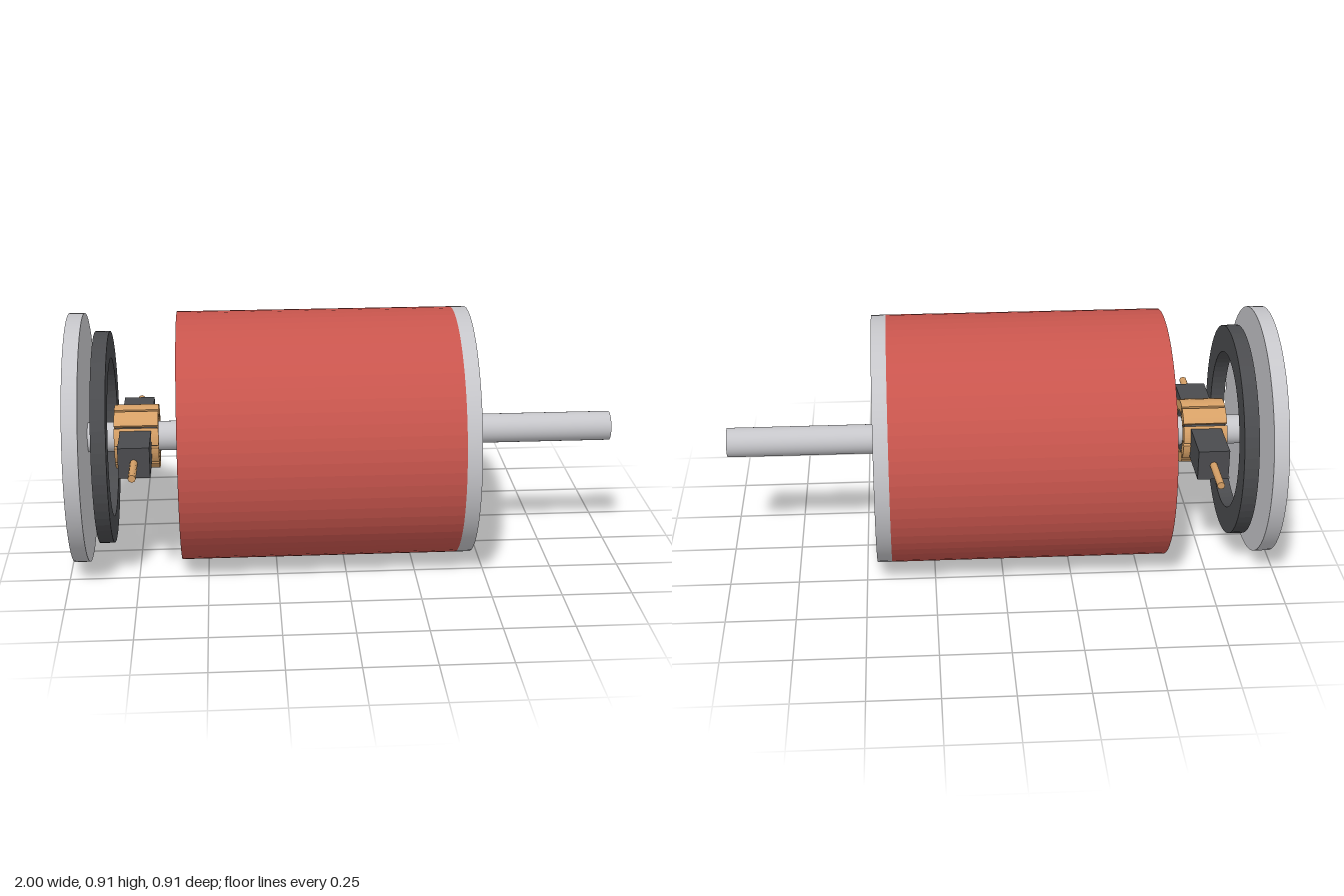
import * as THREE from 'three';

const mat = (name, color, extra = {}) => Object.assign(new THREE.MeshStandardMaterial({ color, ...extra }), { name });

export function createModel() {
  const silver = mat('silver steel', 0xc6c6ca);
  const red = mat('red housing', 0xc8554d);
  const dark = mat('dark carbon', 0x4a4b4e);
  const copper = mat('copper', 0xd6a066);
  const iron = mat('core iron', 0x85878b);

  const model = new THREE.Group();
  model.name = 'electricMotor';
  // Everything sits around the shaft axis, which runs along x
  const axis = new THREE.Group();
  axis.name = 'motorAssembly';
  axis.position.y = 0.455;
  model.add(axis);

  const add = (name, geometry, material, parent = axis) => {
    const mesh = new THREE.Mesh(geometry, material);
    mesh.name = name;
    parent.add(mesh);
    return mesh;
  };

  // Solid cylinder along x from x0 to x1
  const rod = (name, x0, x1, r, material, sides = 64) => {
    const g = new THREE.CylinderGeometry(r, r, x1 - x0, sides);
    g.rotateZ(-Math.PI / 2).translate((x0 + x1) / 2, 0, 0);
    return add(name, g, material);
  };

  // Extrude a cross-section along x from x0 to x1
  const alongX = (shape, x0, x1, curveSegments) => {
    const g = new THREE.ExtrudeGeometry(shape, { depth: x1 - x0, bevelEnabled: false, curveSegments });
    return g.rotateY(Math.PI / 2).translate(x0, 0, 0);
  };

  // Hollow cylinder along x
  const tube = (name, x0, x1, outer, inner, material) => {
    const shape = new THREE.Shape().absarc(0, 0, outer, 0, Math.PI * 2);
    shape.holes.push(new THREE.Path().absarc(0, 0, inner, 0, Math.PI * 2, true));
    return add(name, alongX(shape, x0, x1, 32), material);
  };

  // Shaft, end caps and open housing
  rod('shaft', -1, 1, 0.054, silver, 32);
  rod('rearCap', -0.985, -0.93, 0.455, silver);
  rod('frontCap', 0.407, 0.46, 0.455, silver);
  tube('housing', -0.595, 0.407, 0.455, 0.395, red);
  tube('brushRing', -0.893, -0.84, 0.388, 0.29, dark);

  // Commutator: dark core with copper segments
  rod('commutatorCore', -0.825, -0.675, 0.1, dark, 30);
  const segments = 10, step = (Math.PI * 2) / segments, gap = 0.04;
  for (let i = 0; i < segments; i++) {
    const a = Math.PI / 2 + (i + 0.5) * step + gap, b = a + step - 2 * gap;
    const shape = new THREE.Shape().absarc(0, 0, 0.117, a, b);
    shape.absarc(0, 0, 0.08, b, a, true);
    add('commutatorSegment', alongX(shape, -0.83, -0.67, 3), copper);
  }

  // Brushes and their leads on both sides
  for (const side of [1, -1]) {
    add('brush', new THREE.BoxGeometry(0.112, 0.112, 0.18), dark).position.set(-0.752, 0, side * 0.192);
    const lead = new THREE.CylinderGeometry(0.014, 0.014, 0.16, 8).rotateX(Math.PI / 2);
    add('brushLead', lead, copper).position.set(-0.752, 0, side * 0.353);
  }

  // Armature core with four T-shaped poles
  rod('armatureCore', -0.47, 0.34, 0.19, iron, 32);
  for (let i = 0; i < 4; i++) {
    const pole = new THREE.Group();
    pole.name = 'pole';
    pole.rotation.x = (i * Math.PI) / 2;
    axis.add(pole);
    add('poleStem', new THREE.BoxGeometry(0.81, 0.18, 0.1), iron, pole).position.set(-0.065, 0.25, 0);
    add('poleShoe', new THREE.BoxGeometry(0.81, 0.04, 0.3), iron, pole).position.set(-0.065, 0.335, 0);
  }

  // Winding rings at both ends of the armature
  for (const x of [-0.52, 0.355]) {
    const ring = new THREE.TorusGeometry(0.22, 0.036, 12, 48).rotateY(Math.PI / 2);
    add('windingRing', ring, copper).position.x = x;
  }

  return model;
}
